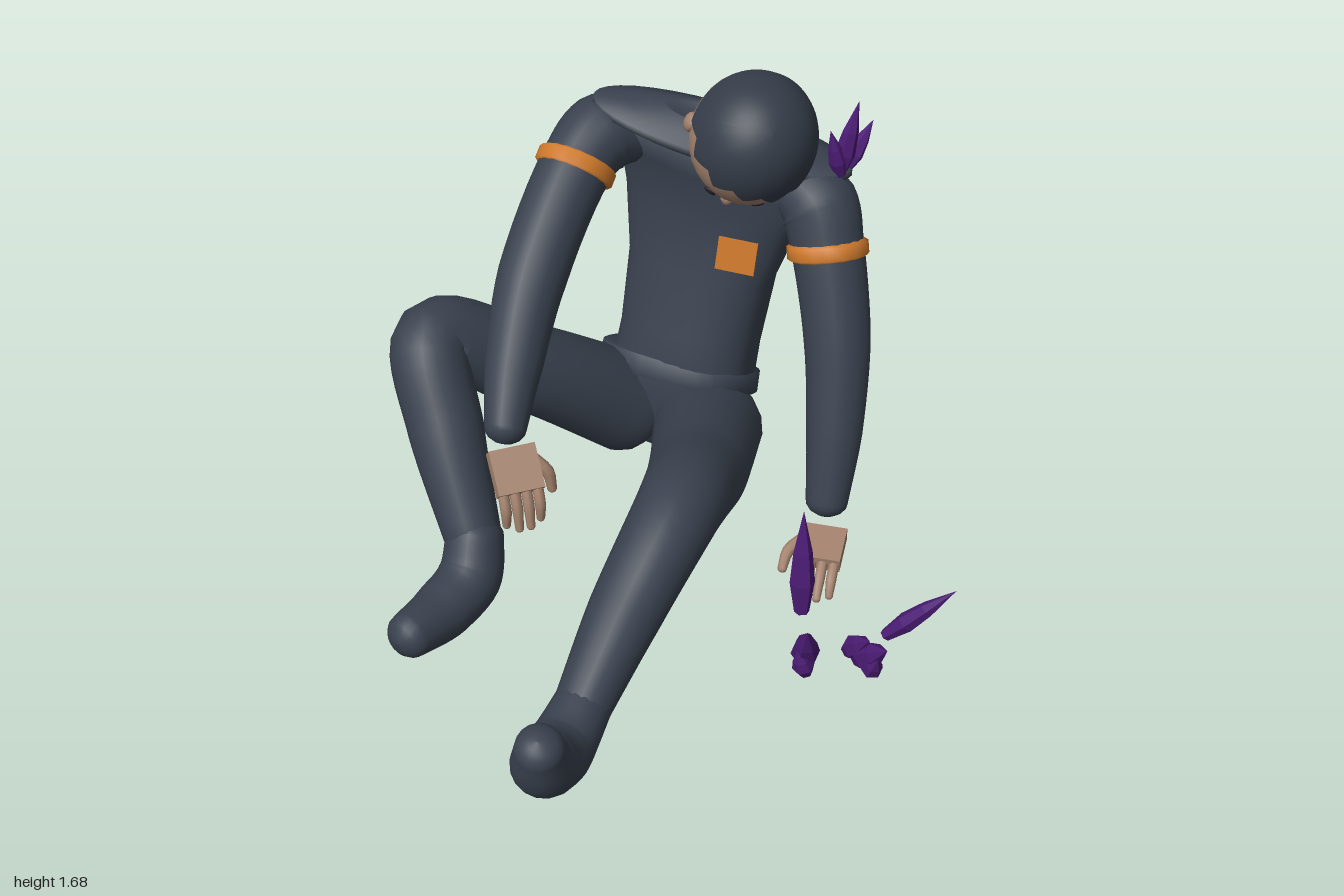
import * as THREE from 'three';

const V = (a) => new THREE.Vector3(...a);
const mat = (name, color, opts = {}) => Object.assign(new THREE.MeshStandardMaterial({ color, ...opts }), { name });
const soft = (v, p) => Math.sign(v) * Math.abs(v) ** p;

// Skin a row of rings; each ring is {c, n, b}: centre and two half-axes, with n x b along the row
// square below 1 makes the rings boxier
function loft(rings, sides = 24, square = 1) {
  const pos = [], index = [];
  rings.forEach(({ c, n, b }, i) => {
    for (let j = 0; j < sides; j++) {
      const a = (j / sides) * Math.PI * 2;
      const p = c.clone().addScaledVector(n, soft(Math.cos(a), square)).addScaledVector(b, soft(Math.sin(a), square));
      pos.push(p.x, p.y, p.z);
      if (i === 0) continue;
      const k = (j + 1) % sides, lo = (i - 1) * sides, hi = i * sides;
      index.push(lo + j, lo + k, hi + j, lo + k, hi + k, hi + j);
    }
  });
  const g = new THREE.BufferGeometry();
  g.setAttribute('position', new THREE.Float32BufferAttribute(pos, 3));
  g.setIndex(index);
  g.computeVertexNormals();
  return g;
}

// Rounded tube through points [x, y, z, radius]
function limb(points, steps = 20, sides = 18) {
  const curve = new THREE.CatmullRomCurve3(points.map((p) => V(p.slice(0, 3))));
  const rings = [], n = new THREE.Vector3(1, 0.13, 0.31);
  const add = (t, push, shrink) => {
    const f = t * (points.length - 1), i = Math.min(Math.floor(f), points.length - 2);
    const r = THREE.MathUtils.lerp(points[i][3], points[i + 1][3], f - i);
    const d = curve.getTangent(t);
    n.addScaledVector(d, -n.dot(d)).normalize();
    const b = d.clone().cross(n);
    rings.push({
      c: curve.getPoint(t).addScaledVector(d, push * r),
      n: n.clone().multiplyScalar(r * shrink), b: b.multiplyScalar(r * shrink),
    });
  };
  const cap = [0.002, 0.4, 0.75, 0.95];
  cap.forEach((s) => add(0, -0.75 * Math.sqrt(1 - s * s), s));
  for (let i = 0; i <= steps; i++) add(i / steps, 0, 1);
  cap.reverse().forEach((s) => add(1, 0.75 * Math.sqrt(1 - s * s), s));
  return loft(rings, sides);
}

// Horizontal oval ring, sloped along x and z and swung round by yaw
const oval = ([x, y, z, rx, rz, sx = 0, sz = 0, yaw = 0]) => ({
  c: V([x, y, z]), n: V([0, sz * rz, rz]), b: V([rx, sx * rx, yaw * rx]),
});

// Turn an object so its local axes follow the given directions
function orient(obj, x, y, z) {
  obj.quaternion.setFromRotationMatrix(new THREE.Matrix4().makeBasis(x, y, z));
}

export function createModel() {
  const model = new THREE.Group();
  const cloth = mat('slate cloth', 0x39414e, { side: THREE.DoubleSide });
  const hairMat = mat('dark hair', 0x343c48, { side: THREE.DoubleSide });
  const skin = mat('skin', 0xa3826d);
  const orange = mat('orange trim', 0xd07a2c, { side: THREE.DoubleSide });
  const purple = mat('purple crystal', 0x4c1c75, { flatShading: true });
  const dark = mat('eye', 0x25222c);
  const add = (name, geo, material, parent = model) => {
    const m = new THREE.Mesh(geo, material);
    m.name = name;
    parent.add(m);
    return m;
  };

  // Slumped jacket body, leaning to the left shoulder
  add('jacket', loft([
    [-0.225, 0.40, -0.765, 0.235, 0.165, 0, 0.5],
    [-0.21, 0.55, -0.79, 0.23, 0.165, 0, 0.35],
    [-0.195, 0.80, -0.845, 0.245, 0.15, -0.05, 0.1],
    [-0.17, 1.02, -0.865, 0.295, 0.137, -0.1, 0],
    [-0.145, 1.17, -0.855, 0.335, 0.135, -0.2, -0.08, -0.06],
    [-0.13, 1.27, -0.82, 0.33, 0.115, -0.22, -0.2, -0.18],
    [-0.12, 1.30, -0.81, 0.001, 0.001],
  ].map(oval), 36, 0.8), cloth);

  // Tilted hem round the waist
  const hem = [[0.215, 0.15, -0.03], [0.27, 0.178, -0.03], [0.265, 0.175, 0.03], [0.215, 0.15, 0.03]];
  add('hem', loft(hem.map(([rx, rz, h]) => oval([-0.24, 0.41 + h, -0.77 + h * -0.5, rx, rz, 0, 0.5])), 36, 0.8), cloth);

  // Flat collar with a raised neck opening
  const collar = [[0.85, -0.035], [1, -0.015], [0.99, 0.005], [0.72, 0.025], [0.45, 0.05], [0.4, 0.04], [0.002, 0.02]];
  add('collar', loft(collar.map(([s, h]) => oval([-0.12, 1.3 + h, -0.8, 0.395 * s, 0.12 * s, -0.22, -0.2, -0.23])), 36), cloth);

  // Seat of the trousers
  add('pelvis', loft([
    [-0.24, 0.16, -0.69, 0.002, 0.002],
    [-0.24, 0.17, -0.69, 0.13, 0.08, 0, 0.1],
    [-0.24, 0.26, -0.715, 0.215, 0.14, 0, 0.3],
    [-0.24, 0.36, -0.75, 0.24, 0.168, 0, 0.5],
    [-0.23, 0.44, -0.77, 0.22, 0.16, 0, 0.5],
  ].map(oval), 28, 0.8), cloth);

  // Legs and boots
  add('leftLeg', limb([[-0.08, 0.28, -0.65, 0.18], [0.04, 0.39, -0.3, 0.157], [0.12, 0.5, 0.03, 0.13],
    [0.1, 0.345, 0.35, 0.11], [0.09, 0.2, 0.6, 0.085]], 32), cloth);
  add('leftBoot', limb([[0.09, 0.2, 0.59, 0.085], [0.09, 0.155, 0.75, 0.1], [0.11, 0.23, 0.88, 0.095],
    [0.13, 0.35, 0.935, 0.07]]), cloth);
  add('rightLeg', limb([[-0.39, 0.29, -0.65, 0.17], [-0.57, 0.53, -0.39, 0.145], [-0.79, 0.745, -0.13, 0.125],
    [-0.67, 0.53, 0.02, 0.118], [-0.515, 0.28, 0.16, 0.09]], 32), cloth);
  add('rightBoot', limb([[-0.505, 0.28, 0.16, 0.09], [-0.485, 0.18, 0.24, 0.1], [-0.505, 0.145, 0.37, 0.095],
    [-0.53, 0.16, 0.53, 0.073]]), cloth);

  // Sleeves
  add('leftSleeve', limb([[0.1, 1.15, -0.86, 0.1], [0.19, 1.1, -0.84, 0.125], [0.24, 1.0, -0.8, 0.115],
    [0.33, 0.72, -0.7, 0.105], [0.375, 0.45, -0.6, 0.09], [0.395, 0.235, -0.515, 0.068]], 30), cloth);
  add('rightSleeve', limb([[-0.41, 1.25, -0.82, 0.11], [-0.49, 1.25, -0.71, 0.125], [-0.52, 1.19, -0.6, 0.115],
    [-0.53, 0.95, -0.31, 0.108], [-0.5, 0.75, -0.12, 0.09], [-0.46, 0.61, 0.02, 0.065]], 30), cloth);

  // Orange arm bands with bevelled rims
  const rim = [[0.11, -0.03], [0.127, -0.02], [0.127, 0.02], [0.11, 0.03]].map((p) => new THREE.Vector2(...p));
  const bandGeo = new THREE.LatheGeometry(rim, 16);
  for (const [name, at, dir] of [
    ['leftArmBand', [0.247, 0.98, -0.793], [-0.26, 0.92, -0.32]],
    ['rightArmBand', [-0.522, 1.185, -0.595], [0.05, 0.68, -0.74]],
  ]) {
    const band = add(name, bandGeo, orange);
    band.position.set(...at);
    band.quaternion.setFromUnitVectors(V([0, 1, 0]), V(dir).normalize());
  }

  // Chest patch
  const patch = add('chestPatch', new THREE.BoxGeometry(0.125, 0.11, 0.009), orange);
  patch.position.set(-0.025, 0.925, -0.714);
  patch.rotation.set(-0.14, 0.2, -0.05);

  // Hands: palm, four fingers and a thumb
  function hand(name, at, across, along, thumbSide, curl) {
    const g = new THREE.Group();
    g.name = name;
    const x = V(across).normalize(), z = V(along);
    z.addScaledVector(x, -z.dot(x)).normalize();
    orient(g, x, z.clone().cross(x), z);
    g.position.set(...at);
    add('palm', new THREE.BoxGeometry(0.145, 0.05, 0.14), skin, g);
    for (let i = 0; i < 4; i++) {
      const fx = (i - 1.5) * 0.036, len = i % 3 ? 0.17 : 0.15;
      add('finger', limb([[fx, 0, 0.06, 0.017], [fx, -curl * 0.35, 0.115, 0.017], [fx, -curl, len, 0.013]], 6, 8), skin, g);
    }
    const s = thumbSide;
    add('thumb', limb([[s * 0.06, -0.005, -0.03, 0.02], [s * 0.1, -0.02, 0.02, 0.02], [s * 0.11, -curl, 0.07, 0.015]], 6, 8), skin, g);
    model.add(g);
  }
  hand('leftHand', [0.43, 0.155, -0.385], [0.97, 0, -0.2], [0.2, -0.15, 0.96], -1, 0.055);
  hand('rightHand', [-0.385, 0.53, 0.1], [0.7, 0, -0.7], [0.45, -0.6, 0.45], 1, 0.06);

  // Neck and bowed head; local axes are left ear, crown and face
  add('neck', limb([[-0.04, 1.3, -0.7, 0.045], [-0.01, 1.35, -0.66, 0.055], [0.03, 1.42, -0.6, 0.06]], 8), skin);
  const head = new THREE.Group();
  head.name = 'head';
  const ear = V([0.82, -0.33, -0.46]).normalize();
  const face = ear.clone().cross(V([0.55, 0.5, 0.65])).normalize();
  orient(head, ear, face.clone().cross(ear), face);
  head.position.set(0.083, 1.462, -0.535);
  model.add(head);

  // Skull, longer and narrower towards the chin
  const skull = new THREE.SphereGeometry(1, 32, 24);
  const sp = skull.attributes.position;
  for (let i = 0; i < sp.count; i++) {
    const low = Math.min(0, sp.getY(i)), taper = 1 + low * 0.16;
    sp.setXYZ(i, sp.getX(i) * 0.182 * taper, sp.getY(i) * 0.212 + low * 0.035, sp.getZ(i) * 0.194 * taper);
  }
  skull.computeVertexNormals();
  add('skull', skull, skin, head);

  // Hair cap, jagged over the brow and smooth behind
  const hair = new THREE.SphereGeometry(1, 72, 14, 0, Math.PI * 2, 0, 1);
  const hp = hair.attributes.position;
  for (let i = 0; i < hp.count; i++) {
    const phi = Math.atan2(hp.getX(i), hp.getZ(i)), turn = Math.abs(phi);
    const zig = Math.abs(((((phi / (Math.PI / 6)) % 1) + 1) % 1) - 0.5) * 2;
    const edge = turn < 1.6 ? 1 + 0.17 * zig + 0.17 * turn : 1.42 - 0.15 * (turn - 1.6);
    const th = Math.acos(Math.min(1, hp.getY(i))) * edge;
    hp.setXYZ(i, Math.sin(th) * Math.sin(phi) * 0.193, Math.cos(th) * 0.22, Math.sin(th) * Math.cos(phi) * 0.204);
  }
  hair.computeVertexNormals();
  add('hair', hair, hairMat, head);

  for (const s of [-1, 1]) {
    const e = add('ear', new THREE.SphereGeometry(1, 12, 10), skin, head);
    e.scale.set(0.02, 0.036, 0.03);
    e.position.set(s * 0.181, -0.015, 0);
    const eye = add('eye', new THREE.SphereGeometry(1, 12, 8), dark, head);
    eye.scale.set(0.02, 0.016, 0.006);
    eye.position.set(s * 0.075, -0.02, 0.177);
    eye.rotation.y = s * 0.4;
  }
  const nose = add('nose', new THREE.SphereGeometry(1, 10, 8), skin, head);
  nose.scale.set(0.022, 0.03, 0.03);
  nose.position.set(0, -0.09, 0.17);

  // Crystal shards: base, tip, radius
  const shards = [
    [[0.435, 0.01, -0.23], [0.412, 0.385, -0.262], 0.04],
    [[0.525, 0.01, -0.03], [0.565, 0.22, 0.07], 0.045],
    [[0.55, 0.01, 0.02], [0.53, 0.12, 0.05], 0.035],
    [[0.63, 0.01, -0.13], [0.72, 0.15, -0.05], 0.04],
    [[0.67, 0.01, -0.11], [0.79, 0.17, -0.01], 0.045],
    [[0.72, 0.01, -0.07], [0.76, 0.11, -0.02], 0.035],
    [[0.71, 0.01, -0.24], [0.91, 0.245, -0.27], 0.032],
    [[0.24, 1.2, -0.87], [0.28, 1.45, -0.9], 0.033],
    [[0.25, 1.21, -0.86], [0.22, 1.37, -0.83], 0.028],
    [[0.25, 1.21, -0.9], [0.3, 1.35, -0.985], 0.03],
  ];
  const profile = [[0, 0], [0.6, 0], [1, 0.3], [0.75, 0.6], [0, 1]].map((p) => new THREE.Vector2(...p));
  const shardGeo = new THREE.LatheGeometry(profile, 6);
  for (const [base, tip, r] of shards) {
    const d = V(tip).sub(V(base)), shard = add('crystal', shardGeo, purple);
    shard.scale.set(r, d.length(), r);
    shard.position.set(...base);
    shard.quaternion.setFromUnitVectors(V([0, 1, 0]), d.normalize());
  }
  return model;
}
